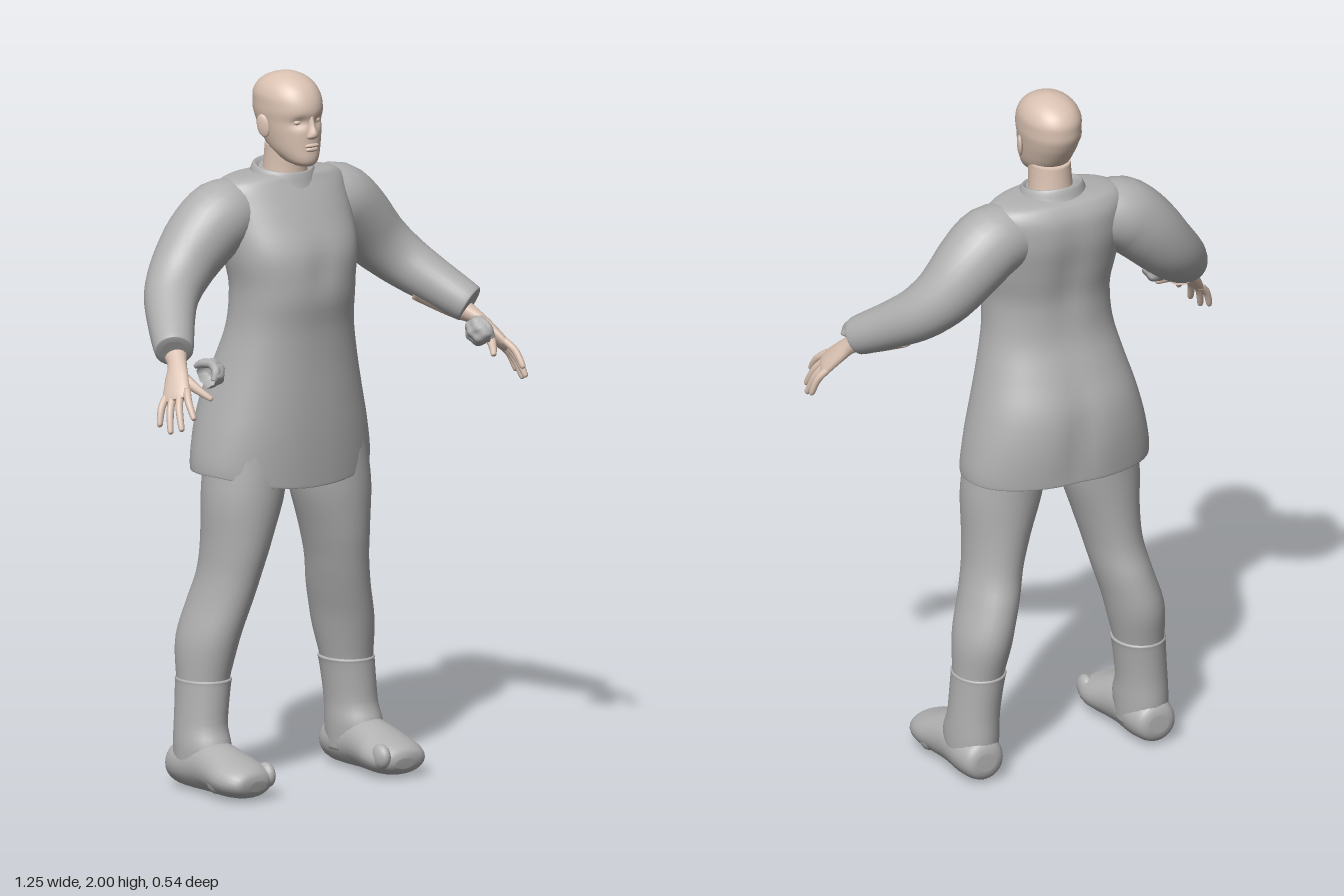
import * as THREE from 'three';

const cloth = new THREE.MeshStandardMaterial({ color: 0xb0b0b0, side: THREE.DoubleSide });
cloth.name = 'grey cloth';
const skin = new THREE.MeshStandardMaterial({ color: 0xdac2b2 });
skin.name = 'skin';

const V = (x, y, z) => new THREE.Vector3(x, y, z);
const bump = (d, w) => Math.exp(-(d * d) / (w * w));

// Slope at b that never overshoots its neighbours
function slope(a, b, c) {
  const d = b - a, e = c - b;
  return d * e <= 0 ? 0 : Math.sign(d) * Math.min(Math.abs(d + e) / 2, 3 * Math.abs(d), 3 * Math.abs(e));
}

// Smooth subdivision of rows of numbers
function smooth(rows, sub) {
  const out = [];
  const at = i => rows[Math.max(0, Math.min(rows.length - 1, i))];
  for (let i = 0; i < rows.length - 1; i++) {
    const [p, q, r, s] = [at(i - 1), at(i), at(i + 1), at(i + 2)];
    for (let k = 0; k < sub; k++) {
      const t = k / sub;
      out.push(q.map((b, c) => {
        const m = slope(p[c], b, r[c]), n = slope(b, r[c], s[c]), d = r[c] - b;
        return b + t * (m + t * (3 * d - 2 * m - n + t * (m + n - 2 * d)));
      }));
    }
  }
  out.push(rows[rows.length - 1]);
  return out;
}

// Skin a list of closed rings, with both ends closed
function loft(name, rings, material) {
  const n = rings[0].length;
  const mid = ring => ring.reduce((a, p) => a.add(p), V(0, 0, 0)).divideScalar(n);
  const all = [Array(n).fill(mid(rings[0])), ...rings, Array(n).fill(mid(rings[rings.length - 1]))];
  const index = [];
  for (let i = 0; i < all.length - 1; i++) {
    for (let j = 0; j < n; j++) {
      const a = i * n + j, b = i * n + (j + 1) % n;
      index.push(a, b, b + n, a, b + n, a + n);
    }
  }
  const g = new THREE.BufferGeometry().setFromPoints(all.flat());
  g.setIndex(index);
  g.computeVertexNormals();
  const mesh = new THREE.Mesh(g, material);
  mesh.name = name;
  return mesh;
}

// Upright form from rows of [y, centre x, half width, front z, back z]
function stack(name, rows, material, { n = 32, power = 2, warp = null } = {}) {
  const e = 2 / power;
  const rings = smooth(rows, 4).map(([y, cx, rx, f, b]) => Array.from({ length: n }, (_, j) => {
    const t = j / n * Math.PI * 2, s = Math.sin(t), c = Math.cos(t);
    const p = V(cx + rx * Math.sign(s) * Math.abs(s) ** e, y, (f + b) / 2 + (f - b) / 2 * Math.sign(c) * Math.abs(c) ** e);
    if (warp) warp(p);
    return p;
  }));
  return loft(name, rings, material);
}

// Limb along a path of [x, y, z, radius along ref, other radius]
function limb(name, rows, material, { n = 16, ref = V(0, 1, 0) } = {}) {
  const path = smooth(rows, 4), pos = path.map(r => V(r[0], r[1], r[2]));
  const rings = path.map((r, i) => {
    const dir = pos[Math.min(i + 1, pos.length - 1)].clone().sub(pos[Math.max(i - 1, 0)]).normalize();
    const u = ref.clone().addScaledVector(dir, -ref.dot(dir)).normalize();
    const v = dir.clone().cross(u);
    return Array.from({ length: n }, (_, j) => {
      const t = j / n * Math.PI * 2;
      return pos[i].clone().addScaledVector(u, Math.cos(t) * r[3]).addScaledVector(v, Math.sin(t) * (r[4] ?? r[3]));
    });
  });
  return loft(name, rings, material);
}

function blob(name, x, y, z, sx, sy, sz, material) {
  const mesh = new THREE.Mesh(new THREE.SphereGeometry(1, 18, 12), material);
  mesh.position.set(x, y, z);
  mesh.scale.set(sx, sy, sz);
  mesh.name = name;
  return mesh;
}

function makeHead() {
  const g = new THREE.Group();
  g.name = 'head';
  g.add(stack('neck', [[1.64, 0, 0.075, 0, -0.155], [1.72, 0, 0.062, -0.008, -0.138], [1.80, 0, 0.058, 0, -0.13]], skin));
  // skull and face, with hollows at the eyes
  g.add(stack('skull', [
    [1.747, 0, 0.022, 0.042, -0.015], [1.757, 0, 0.04, 0.05, -0.05], [1.775, 0, 0.054, 0.053, -0.09],
    [1.80, 0, 0.065, 0.052, -0.122], [1.84, 0, 0.074, 0.052, -0.15], [1.87, 0, 0.079, 0.049, -0.166],
    [1.90, 0, 0.083, 0.054, -0.175], [1.93, 0, 0.083, 0.048, -0.175], [1.96, 0, 0.074, 0.03, -0.162],
    [1.982, 0, 0.055, 0.002, -0.135], [1.995, 0, 0.03, -0.03, -0.1], [2.0, 0, 0.006, -0.055, -0.072]], skin, {
    n: 48, power: 2.1, warp: p => {
      if (p.z > -0.03) p.z -= 0.011 * bump(Math.abs(p.x) - 0.032, 0.018) * bump(p.y - 1.872, 0.014);
    } }));
  g.add(stack('nose', [[1.824, 0, 0.012, 0.052, 0.03], [1.831, 0, 0.018, 0.066, 0.03], [1.842, 0, 0.015, 0.07, 0.03],
    [1.865, 0, 0.009, 0.06, 0.03], [1.892, 0, 0.008, 0.052, 0.03]], skin, { n: 16 }));
  g.add(blob('upperLip', 0, 1.807, 0.05, 0.024, 0.006, 0.009, skin), blob('lowerLip', 0, 1.796, 0.049, 0.021, 0.007, 0.009, skin));
  for (const s of [-1, 1]) {
    g.add(blob('eye', s * 0.032, 1.872, 0.024, 0.014, 0.009, 0.011, skin));
    const ear = blob('ear', s * 0.087, 1.856, -0.058, 0.008, 0.033, 0.02, skin);
    ear.rotation.set(-0.2, s * -0.35, s * -0.12);
    g.add(ear);
  }
  return g;
}

function makeArm(s) {
  const g = new THREE.Group();
  g.name = s > 0 ? 'leftArm' : 'rightArm';
  const at = rows => rows.map(([x, ...rest]) => [s * x, ...rest]);
  g.add(limb('sleeve', at([[0.12, 1.615, -0.105, 0.085], [0.2, 1.605, -0.105, 0.104], [0.27, 1.55, -0.108, 0.1],
    [0.34, 1.475, -0.1, 0.088], [0.40, 1.415, -0.065, 0.077], [0.455, 1.36, 0.005, 0.066], [0.512, 1.302, 0.093, 0.054],
    [0.514, 1.3, 0.096, 0.049], [0.515, 1.299, 0.0975, 0.035]]), cloth, { n: 28 }));
  // forearm, wrist and palm
  const spread = V(s * 0.05, -0.04, -0.095).normalize();
  g.add(limb('hand', at([[0.43, 1.345, -0.02, 0.045, 0.045], [0.485, 1.298, 0.06, 0.038, 0.036], [0.518, 1.268, 0.115, 0.028, 0.022],
    [0.542, 1.236, 0.145, 0.036, 0.019], [0.567, 1.197, 0.175, 0.043, 0.016], [0.576, 1.182, 0.186, 0.036, 0.01]]), skin, { ref: spread }));
  const tips = [[0.572, 1.145, 0.262], [0.597, 1.113, 0.24], [0.611, 1.102, 0.208], [0.618, 1.117, 0.168]];
  tips.forEach(([x, y, z], i) => {
    const k = (i - 1.5) * 0.022;
    const b = [0.565 + 0.44 * k, 1.2 - 0.35 * k, 0.175 - 0.83 * k];
    const m = [(b[0] + x) / 2 + 0.006, (b[1] + y) / 2 + 0.007, (b[2] + z) / 2];
    g.add(limb('finger', at([[...b, 0.011], [...m, 0.0105], [x, y, z, 0.008], [x + 0.001, y - 0.004, z + 0.003, 0.003]]), skin, { n: 10, ref: spread }));
  });
  g.add(limb('thumb', at([[0.528, 1.25, 0.135, 0.016], [0.52, 1.222, 0.178, 0.015], [0.505, 1.2, 0.212, 0.011],
    [0.491, 1.185, 0.234, 0.008], [0.489, 1.182, 0.237, 0.003]]), skin, { n: 10 }));
  // small crumpled shell beside the thumb
  const shell = new THREE.SphereGeometry(1, 24, 14, 0, Math.PI * 2, 0, Math.PI * 0.6);
  shell.rotateZ(s * Math.PI / 2);
  const p = shell.attributes.position;
  for (let i = 0; i < p.count; i++) {
    const k = 1 + 0.1 * Math.sin(7 * p.getY(i) + 2) * Math.cos(6 * p.getZ(i));
    p.setXYZ(i, p.getX(i) * 0.036 * k, p.getY(i) * 0.04 * k, p.getZ(i) * 0.046 * k);
  }
  shell.computeVertexNormals();
  const cup = new THREE.Mesh(shell, cloth);
  cup.name = 'shell';
  cup.position.set(s * 0.468, 1.25, 0.2);
  g.add(cup, limb('shellRidge', at([[0.484, 1.262, 0.152, 0.006], [0.474, 1.274, 0.175, 0.013], [0.468, 1.276, 0.205, 0.013],
    [0.474, 1.258, 0.235, 0.012], [0.482, 1.235, 0.236, 0.01]]), cloth, { n: 10, ref: V(1, 0.1, 0) }));
  return g;
}

function makeLeg(s) {
  const g = new THREE.Group();
  g.name = s > 0 ? 'leftLeg' : 'rightLeg';
  const at = rows => rows.map(([y, x, ...rest]) => [y, s * x, ...rest]);
  g.add(stack('trouser', at([[0.2, 0.26, 0.06, -0.05, -0.19], [0.3, 0.25, 0.069, -0.04, -0.2], [0.42, 0.234, 0.08, -0.015, -0.222],
    [0.52, 0.207, 0.079, 0.006, -0.21], [0.6, 0.188, 0.08, 0.022, -0.19], [0.7, 0.17, 0.092, 0.04, -0.185],
    [0.85, 0.147, 0.115, 0.052, -0.19], [1.0, 0.13, 0.115, 0.05, -0.2]]), cloth, { n: 28 }));
  g.add(stack('bootShaft', at([[0.05, 0.264, 0.07, -0.02, -0.195], [0.12, 0.263, 0.073, -0.01, -0.2], [0.19, 0.26, 0.07, -0.033, -0.198],
    [0.29, 0.25, 0.073, -0.034, -0.204], [0.307, 0.248, 0.075, -0.033, -0.206], [0.312, 0.248, 0.067, -0.04, -0.2]]), cloth, { n: 28 }));
  // foot from heel to toe: x, y, z, half height, half width
  g.add(limb('foot', [[0.268, 0.065, -0.208, 0.025, 0.03], [0.268, 0.065, -0.195, 0.055, 0.056], [0.266, 0.068, -0.14, 0.067, 0.071],
    [0.265, 0.074, -0.06, 0.073, 0.073], [0.264, 0.068, 0, 0.067, 0.08], [0.262, 0.058, 0.06, 0.056, 0.09],
    [0.259, 0.052, 0.105, 0.047, 0.083], [0.255, 0.046, 0.132, 0.034, 0.06], [0.254, 0.044, 0.141, 0.015, 0.03]]
    .map(([x, ...r]) => [s * x, ...r]), cloth, { n: 24 }));
  for (let i = 0; i < 5; i++) {
    g.add(blob('toe', s * (0.2 + i * 0.031), 0.064 - i * 0.003, 0.102 - i * i * 0.004, 0.022, 0.036, 0.036, cloth));
  }
  return g;
}

export function createModel() {
  const model = new THREE.Group();
  model.name = 'figure';
  // tunic, with a dipped front hem and a soft centre line behind
  model.add(stack('tunic', [
    [0.93, 0, 0.235, 0.04, -0.22], [0.893, 0, 0.262, 0.062, -0.25], [0.888, 0, 0.274, 0.07, -0.262], [0.91, 0, 0.276, 0.073, -0.266],
    [1.0, 0, 0.262, 0.08, -0.272], [1.1, 0, 0.237, 0.083, -0.262], [1.2, 0, 0.209, 0.085, -0.225],
    [1.3, 0, 0.186, 0.091, -0.192], [1.4, 0, 0.181, 0.106, -0.187], [1.5, 0, 0.197, 0.1, -0.203],
    [1.6, 0, 0.205, 0.055, -0.218], [1.66, 0, 0.205, 0.022, -0.214], [1.695, 0, 0.195, 0, -0.198],
    [1.712, 0, 0.16, -0.01, -0.18], [1.72, 0, 0.09, -0.02, -0.15]], cloth, {
    n: 56, power: 2.25, warp: p => {
      if (p.z < -0.1) p.z += (0.016 * bump(p.y - 1.02, 0.14) + 0.012 * bump(p.y - 1.5, 0.16)) * bump(p.x, 0.045);
      if (p.z > 0) p.z -= 0.008 * bump(p.y - 1.47, 0.07) * bump(p.x, 0.04);
      p.y -= 0.042 * Math.max(0, 1 - (p.x / 0.275) ** 2) * bump(p.y - 0.88, 0.1) * THREE.MathUtils.smoothstep(p.z, -0.1, 0.05);
    } }));
  model.add(stack('collar', [[1.675, 0, 0.115, 0.018, -0.185], [1.70, 0, 0.1, 0.008, -0.172], [1.727, 0, 0.09, 0, -0.163],
    [1.735, 0, 0.083, -0.005, -0.156], [1.725, 0, 0.07, -0.012, -0.145]], cloth, {
    warp: p => { p.y -= (p.z + 0.08) * 0.16; } }));
  model.add(makeHead());
  for (const s of [1, -1]) model.add(makeArm(s), makeLeg(s));
  return model;
}
